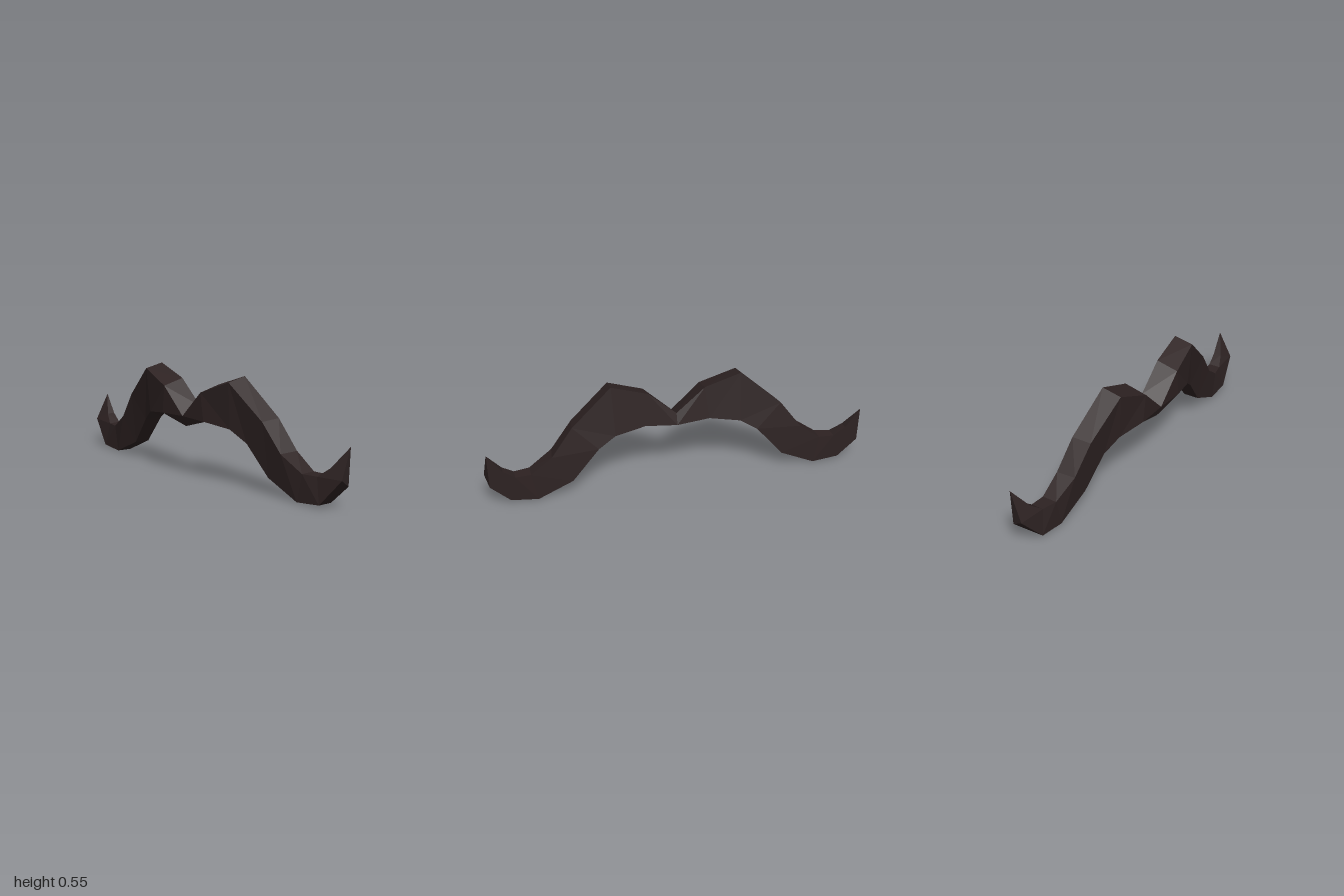
import * as THREE from 'three';

// Cross-sections from the middle out to the curled end:
// top front, bottom front, bottom back, top back, each [x, y, z]
const SECTIONS = [
  [[0, 0.32, 0.097], [0, 0.265, 0.073], [0, 0.30, -0.04], [0, 0.36, -0.02]],
  [[0.15, 0.46, 0.1], [0.17, 0.315, 0.097], [0.17, 0.32, -0.045], [0.15, 0.49, -0.02]],
  [[0.34, 0.53, 0.078], [0.33, 0.295, 0.06], [0.33, 0.295, -0.065], [0.34, 0.553, -0.027]],
  [[0.54, 0.36, 0.037], [0.42, 0.235, 0.028], [0.42, 0.24, -0.08], [0.55, 0.37, -0.062]],
  [[0.65, 0.22, 0.018], [0.55, 0.085, 0.003], [0.56, 0.08, -0.09], [0.66, 0.225, -0.08]],
  [[0.77, 0.143, -0.007], [0.74, 0.002, -0.005], [0.74, 0, -0.09], [0.77, 0.145, -0.085]],
  [[0.85, 0.143, -0.025], [0.88, 0.015, -0.01], [0.88, 0.015, -0.09], [0.85, 0.145, -0.09]],
  [[0.91, 0.19, -0.05], [1, 0.15, -0.032], [0.98, 0.11, -0.097], [0.91, 0.19, -0.095]],
];
const TIP = [0.985, 0.295, -0.1];

// Skins one half; side is 1 for left and -1 for right
function halfGeometry(side) {
  const positions = [];
  const triangle = (a, b, c) => {
    for (const [x, y, z] of side > 0 ? [a, b, c] : [a, c, b]) positions.push(side * x, y, z);
  };
  SECTIONS.forEach((ring, i) => {
    const next = SECTIONS[i + 1];
    for (let k = 0; k < 4; k++) {
      const m = (k + 1) % 4;
      if (next) {
        triangle(ring[k], ring[m], next[m]);
        triangle(ring[k], next[m], next[k]);
      } else {
        triangle(ring[k], ring[m], TIP); // pointed end
      }
    }
  });
  const geometry = new THREE.BufferGeometry();
  geometry.setAttribute('position', new THREE.Float32BufferAttribute(positions, 3));
  geometry.computeVertexNormals();
  return geometry;
}

export function createModel() {
  const group = new THREE.Group();
  group.name = 'moustache';
  const hair = new THREE.MeshStandardMaterial({ color: 0x2d2222, flatShading: true });
  hair.name = 'dark brown hair';
  for (const [name, side] of [['leftHalf', 1], ['rightHalf', -1]]) {
    const mesh = new THREE.Mesh(halfGeometry(side), hair);
    mesh.name = name;
    group.add(mesh);
  }
  return group;
}
